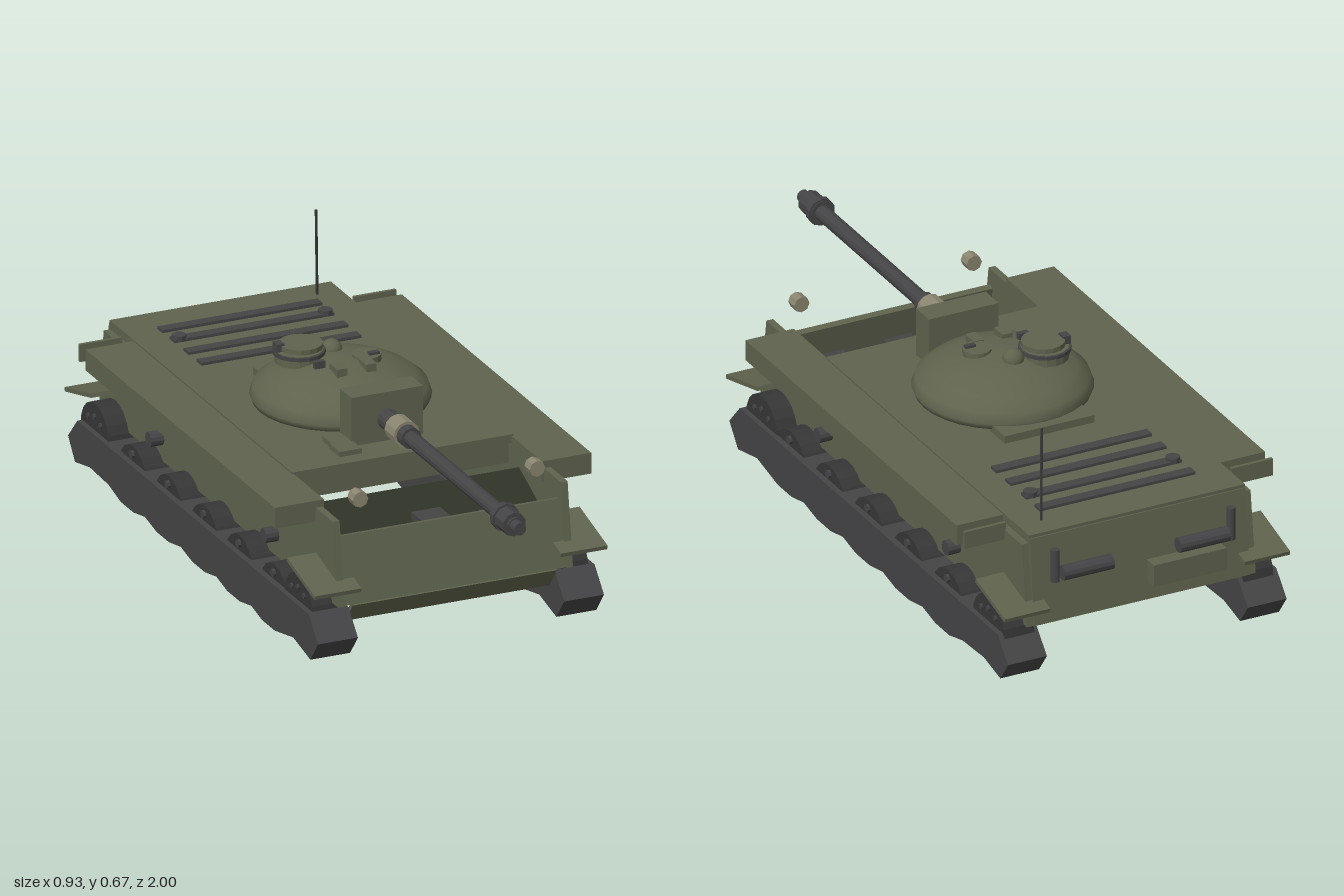
import * as THREE from 'three';

const paint = (c, double) => new THREE.MeshStandardMaterial({ color: c, flatShading: true, side: double ? THREE.DoubleSide : THREE.FrontSide });
const olive = paint(0x5f634d), oliveThin = paint(0x5f634d, true), dark = paint(0x2f3226, true);
const steel = paint(0x444446), rubber = paint(0x363637), lamp = paint(0x8a8570);
const smoothOlive = new THREE.MeshStandardMaterial({ color: 0x5f634d });

export function createModel() {
  const root = new THREE.Group();
  root.name = 'tank';

  const add = (name, geo, mat, x = 0, y = 0, z = 0, rx = 0) => {
    const m = new THREE.Mesh(geo, mat);
    m.name = name;
    m.position.set(x, y, z);
    m.rotation.x = rx;
    root.add(m);
    return m;
  };
  // box given by its limits on each axis
  const box = (name, x0, x1, y0, y1, z0, z1, mat = olive, rx = 0) =>
    add(name, new THREE.BoxGeometry(x1 - x0, y1 - y0, z1 - z0), mat, (x0 + x1) / 2, (y0 + y1) / 2, (z0 + z1) / 2, rx);
  // cylinder along a chosen axis
  const cyl = (name, axis, r, len, x, y, z, mat = steel, sides = 12) => {
    const g = new THREE.CylinderGeometry(r, r, len, sides);
    if (axis === 'x') g.rotateZ(Math.PI / 2);
    if (axis === 'z') g.rotateX(Math.PI / 2);
    return add(name, g, mat, x, y, z);
  };
  // side profile of [z, y] points extruded between x0 and x1
  const profile = (name, pts, x0, x1, mat = olive) => {
    const shape = new THREE.Shape(pts.map(p => new THREE.Vector2(p[0], p[1])));
    const g = new THREE.ExtrudeGeometry(shape, { depth: x1 - x0, bevelEnabled: false });
    g.rotateY(-Math.PI / 2).translate(x1, 0, 0);
    return add(name, g, mat);
  };
  // sloped plate between two [z, y] points
  const plate = (name, a, b, x0, x1, t, mat = olive) => {
    const dz = b[0] - a[0], dy = b[1] - a[1];
    const g = new THREE.BoxGeometry(x1 - x0, t, Math.hypot(dz, dy));
    return add(name, g, mat, (x0 + x1) / 2, (a[1] + b[1]) / 2, (a[0] + b[0]) / 2, -Math.atan2(dy, dz));
  };

  // Hull: open underneath and in front of the roof
  box('hullRoof', -0.325, 0.325, 0.39, 0.415, -0.93, 0.245);
  box('roofFrontLip', -0.31, 0.31, 0.335, 0.39, 0.235, 0.245);
  plate('hullFrontPlate', [0.575, 0.155], [0.535, 0.34], -0.325, 0.325, 0.02);
  plate('hullLowerPlate', [0.575, 0.155], [0.53, 0.095], -0.3, 0.3, 0.012);
  plate('driverDeck', [0.28, 0.33], [0.53, 0.22], -0.325, 0.325, 0.006, dark);
  plate('hullRearPlate', [-0.95, 0.155], [-0.925, 0.405], -0.325, 0.325, 0.02);

  // Driver's fittings in the front well
  box('driverPeriscope', -0.04, 0.045, 0.275, 0.305, 0.385, 0.455, steel);
  box('driverSeat', 0.145, 0.235, 0.26, 0.29, 0.415, 0.48, steel);
  cyl('driverLever', 'z', 0.008, 0.09, 0.168, 0.3, 0.4, steel, 8);
  cyl('leverKnob', 'y', 0.014, 0.02, 0.168, 0.305, 0.365, steel, 8);

  // Running gear and side fittings, mirrored
  const roadZ = [0.3, 0.075, -0.15, -0.38, -0.61];
  const trackPts = [[-0.93, 0.14], [-0.99, 0.075], [-0.945, 0.015], [-0.85, 0.035], [-0.73, 0.03]];
  [...roadZ].reverse().forEach((z, i) => {
    trackPts.push([z - 0.04, 0.01], [z + 0.04, 0.01]);
    if (i < 4) trackPts.push([z + 0.115, 0.025]);
  });
  trackPts.push([0.46, 0.035], [0.57, 0.012], [0.62, 0.075], [0.56, 0.14]);

  for (const s of [-1, 1]) {
    const span = (a, b) => (s > 0 ? [a, b] : [-b, -a]);
    const side = s > 0 ? 'left' : 'right';
    profile(side + 'HullSide', [[0.585, 0.155], [0.55, 0.39], [-0.925, 0.39], [-0.955, 0.155]], ...span(0.325, 0.345));
    profile(side + 'Track', trackPts, ...span(0.303, 0.42), steel);
    for (const z of roadZ) {
      cyl(side + 'RoadWheel', 'x', 0.091, 0.085, s * 0.36, 0.093, z, rubber, 20);
      cyl(side + 'WheelHub', 'x', 0.012, 0.1, s * 0.36, 0.16, z, steel, 8);
    }
    for (const z of [0.46, -0.85]) {
      cyl(side + 'EndWheel', 'x', 0.092, 0.09, s * 0.36, 0.125, z, rubber, 20);
      for (const k of [-1, 0, 1]) cyl(side + 'WheelBolt', 'x', 0.008, 0.1, s * 0.36, 0.18 - 0.012 * Math.abs(k), z + k * 0.04, steel, 8);
    }
    box(side + 'Fender', ...span(0.32, 0.465), 0.35, 0.41, -0.78, 0.44);
    plate(side + 'FrontMudguard', [0.44, 0.255], [0.62, 0.21], ...span(0.293, 0.43), 0.012);
    plate(side + 'RearMudguard', [-0.82, 0.255], [-0.99, 0.21], ...span(0.293, 0.43), 0.012);
    box(side + 'RearFlap', ...span(0.34, 0.465), 0.36, 0.41, -0.825, -0.815);
    box(side + 'StowageBox', ...span(0.345, 0.373), 0.322, 0.358, -0.59, -0.49);
    box(side + 'SideRail', ...span(0.345, 0.355), 0.27, 0.28, -0.13, 0.045, steel);
    for (const z of [0.185, -0.555]) cyl(side + 'ReturnRoller', 'x', 0.021, 0.045, s * 0.36, 0.22, z);
    cyl(side + 'Headlight', 'z', 0.023, 0.035, s * 0.26, 0.437, 0.525, lamp, 8);
    cyl(side + 'Exhaust', 'x', 0.021, 0.15, s * 0.175, 0.305, -0.975);
    cyl(side + 'ExhaustPipe', 'y', 0.012, 0.095, s * 0.265, 0.328, -0.965);
    cyl(side + 'FuelCap', 'y', 0.02, 0.015, s * 0.215, 0.424, -0.725, steel, 10);
  }
  box('rearStowageBox', -0.24, -0.02, 0.205, 0.27, -0.99, -0.945);

  // Engine deck grilles
  for (const z of [-0.803, -0.725, -0.635, -0.552]) box('engineGrille', -0.235, 0.235, 0.41, 0.423, z - 0.016, z + 0.016, steel);
  box('deckHatch', -0.165, -0.1, 0.41, 0.43, 0.135, 0.2);

  // Aerial
  const a = new THREE.Vector3(0.255, 0.41, -0.865), b = new THREE.Vector3(0.238, 0.675, -0.835);
  add('aerial', new THREE.TubeGeometry(new THREE.LineCurve3(a, b), 1, 0.004, 6), rubber);

  // Turret dome
  const dome = [[0.2, 0.41], [0.238, 0.425], [0.245, 0.442], [0.235, 0.47], [0.2, 0.498], [0.15, 0.522], [0.1, 0.537], [0.05, 0.546], [0, 0.549]];
  add('turret', new THREE.LatheGeometry(dome.map(p => new THREE.Vector2(...p)), 32), smoothOlive, 0, 0, -0.155);
  box('turretRearBox', -0.135, 0.135, 0.412, 0.437, -0.425, -0.34);
  box('mantlet', -0.105, 0.105, 0.415, 0.555, 0.07, 0.145);
  box('mantletSkirt', -0.16, -0.1, 0.415, 0.43, 0.08, 0.135);

  // Gun
  cyl('gunBarrel', 'z', 0.022, 0.84, 0, 0.478, 0.55, steel, 14);
  cyl('gunSleeve', 'z', 0.029, 0.08, 0, 0.478, 0.18, steel, 14);
  cyl('gunCollar', 'z', 0.038, 0.06, 0, 0.478, 0.24, lamp, 12);
  cyl('barrelRing', 'z', 0.03, 0.03, 0, 0.478, 0.285, steel, 12);
  cyl('muzzleBrake', 'z', 0.034, 0.075, 0, 0.478, 0.925, steel, 10);
  cyl('muzzleBrakeRing', 'z', 0.04, 0.02, 0, 0.478, 0.9, steel, 10);
  cyl('muzzleTip', 'z', 0.018, 0.04, 0, 0.478, 0.98, steel, 12);

  // Roof fittings of the turret
  cyl('cupola', 'y', 0.066, 0.035, -0.095, 0.545, -0.215, olive, 16);
  cyl('cupolaRing', 'y', 0.072, 0.01, -0.095, 0.556, -0.215, steel, 16);
  cyl('cupolaHatch', 'y', 0.06, 0.014, -0.09, 0.572, -0.215, olive, 16);
  box('cupolaSight', -0.162, -0.14, 0.55, 0.585, -0.24, -0.21, steel);
  add('ventDome', new THREE.SphereGeometry(0.03, 14, 10), smoothOlive, 0, 0.543, -0.215);
  cyl('loaderHatch', 'y', 0.04, 0.03, 0.065, 0.538, -0.13, olive, 14);
  for (const s of [-1, 1]) {
    box('turretPeriscope', s * 0.043 - 0.015, s * 0.043 + 0.015, 0.525, 0.555, -0.1, -0.05);
    box('hatchHinge', s * 0.08 - 0.015, s * 0.08 + 0.015, 0.54, 0.56, -0.125, -0.11, steel);
  }
  return root;
}
